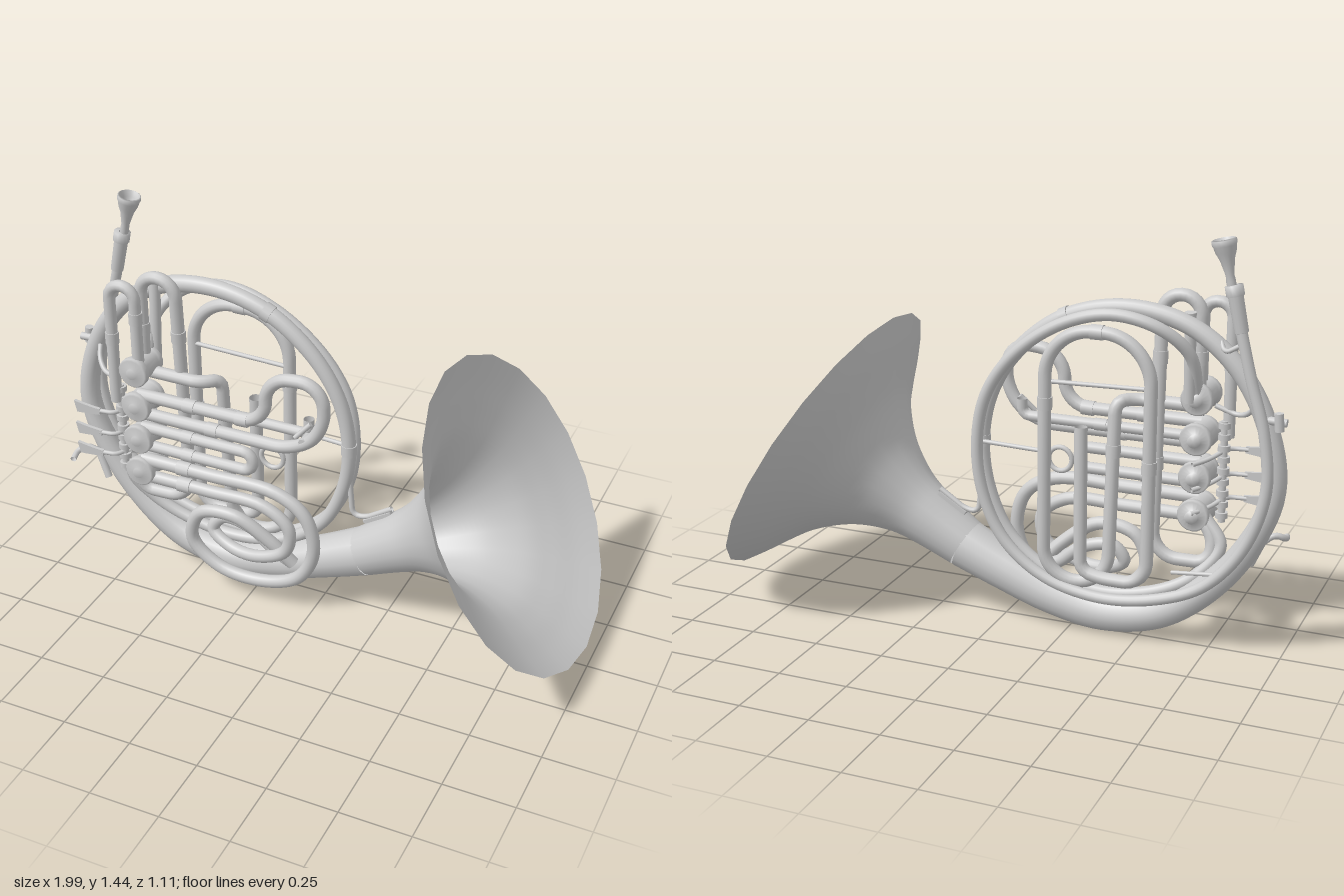
import * as THREE from 'three';

const mat = new THREE.MeshStandardMaterial({ color: 0xcccccc, side: THREE.DoubleSide });
const V = (p) => new THREE.Vector3(p[0], p[1], p[2] || 0);
const UP = new THREE.Vector3(0, 1, 0);

export function createModel() {
  const root = new THREE.Group();

  function add(name, geometry, parent = root) {
    const m = new THREE.Mesh(geometry, mat);
    m.name = name;
    parent.add(m);
    return m;
  }

  // Cylinder or cone between two points
  function rod(name, a, b, r0, r1 = r0, sides = 12) {
    const p = V(a), q = V(b);
    const m = add(name, new THREE.CylinderGeometry(r1, r0, p.distanceTo(q), sides));
    m.position.copy(p).add(q).multiplyScalar(0.5);
    m.quaternion.setFromUnitVectors(UP, q.sub(p).normalize());
    return m;
  }

  // Profile of [radius, height] turned about an axis
  function turned(name, profile, origin, axis, sides) {
    const m = add(name, new THREE.LatheGeometry(profile.map(([r, h]) => new THREE.Vector2(r, h)), sides));
    m.position.copy(V(origin));
    m.quaternion.setFromUnitVectors(UP, V(axis).normalize());
    return m;
  }

  // Smooth tube through points [x, y, z, radius], tapering between them
  function taperedTube(name, pts, sides = 14) {
    const curve = new THREE.CatmullRomCurve3(pts.map(V));
    curve.getUtoTmapping = (u) => u;
    const steps = (pts.length - 1) * 7;
    const geo = new THREE.TubeGeometry(curve, steps, 1, sides);
    const pos = geo.attributes.position, v = new THREE.Vector3();
    for (let i = 0; i <= steps; i++) {
      const c = curve.getPoint(i / steps);
      const f = Math.min(i / 7, pts.length - 1.0001), k = Math.floor(f);
      const r = THREE.MathUtils.lerp(pts[k][3], pts[k + 1][3], f - k);
      for (let j = 0; j <= sides; j++) {
        const n = i * (sides + 1) + j;
        v.fromBufferAttribute(pos, n).sub(c).multiplyScalar(r).add(c);
        pos.setXYZ(n, v.x, v.y, v.z);
      }
    }
    return add(name, geo);
  }

  // Straight runs joined by rounded bends, with collars at given fractions
  function pipe(name, pts, r, bend = 0.07, collars = []) {
    const path = new THREE.CurvePath(), p = pts.map(V);
    let from = p[0];
    for (let i = 1; i < p.length; i++) {
      if (i === p.length - 1) { path.add(new THREE.LineCurve3(from, p[i])); break; }
      const back = p[i - 1].clone().sub(p[i]), on = p[i + 1].clone().sub(p[i]);
      const d = Math.min(bend, back.length() * 0.49, on.length() * 0.49);
      const a = p[i].clone().add(back.setLength(d)), b = p[i].clone().add(on.setLength(d));
      const k = 0.45;
      path.add(new THREE.LineCurve3(from, a));
      path.add(new THREE.CubicBezierCurve3(a, a.clone().lerp(p[i], 1 - k), b.clone().lerp(p[i], 1 - k), b));
      from = b;
    }
    add(name, new THREE.TubeGeometry(path, Math.ceil(path.getLength() * 50) + 8, r, 12));
    for (const t of collars) {
      const c = path.getPointAt(t), d = path.getTangentAt(t).multiplyScalar(0.022);
      rod(name + 'Collar', c.clone().sub(d).toArray(), c.clone().add(d).toArray(), r * 1.15);
    }
  }

  // Flared bell
  const profile = new THREE.SplineCurve([[0.09, -0.64], [0.106, -0.5], [0.126, -0.4], [0.172, -0.3], [0.226, -0.225],
    [0.305, -0.15], [0.39, -0.097], [0.475, -0.05], [0.557, 0]].map(([r, h]) => new THREE.Vector2(r, h)));
  turned('bell', profile.getPoints(40).map((p) => [p.x, p.y]), [0.71, 0.57, 0], [0.863, 0.506, 0], 20);

  // Main body tube, from the bell throat once round and inside the bottom
  taperedTube('mainTube', [
    [0.158, 0.246, 0, 0.09], [0, 0.175, 0, 0.08], [-0.18, 0.105, 0, 0.071], [-0.37, 0.069, 0, 0.064],
    [-0.57, 0.105, 0, 0.058], [-0.73, 0.212, 0, 0.051], [-0.87, 0.385, 0, 0.044], [-0.955, 0.6, -0.005, 0.038],
    [-0.925, 0.81, -0.01, 0.035], [-0.82, 1, -0.01, 0.033], [-0.65, 1.13, -0.01, 0.031], [-0.43, 1.17, -0.01, 0.03],
    [-0.22, 1.12, -0.01, 0.029], [-0.05, 0.99, -0.01, 0.027], [0.05, 0.83, -0.01, 0.026], [0.085, 0.65, -0.01, 0.025],
    [0.06, 0.47, -0.01, 0.024], [-0.02, 0.31, -0.01, 0.023], [-0.17, 0.195, -0.01, 0.023], [-0.37, 0.15, -0.01, 0.022],
    [-0.57, 0.185, 0, 0.022], [-0.7, 0.26, 0.02, 0.022], [-0.765, 0.36, 0.05, 0.022], [-0.7, 0.45, 0.07, 0.022]], 16);
  // Collars on the main ring
  rod('mainTubeCollar', [-0.235, 1.127, -0.01], [-0.205, 1.113, -0.01], 0.033);
  rod('mainTubeCollar', [0.085, 0.63, -0.01], [0.085, 0.67, -0.01], 0.028);

  // Leadpipe, running behind the main ring
  taperedTube('leadpipe', [
    [-0.833, 1.14, -0.055, 0.019], [-0.875, 0.98, -0.06, 0.019], [-0.925, 0.81, -0.065, 0.019], [-0.94, 0.61, -0.066, 0.02],
    [-0.87, 0.4, -0.066, 0.02], [-0.74, 0.25, -0.066, 0.02], [-0.57, 0.175, -0.066, 0.02], [-0.37, 0.15, -0.066, 0.02],
    [-0.17, 0.195, -0.066, 0.02], [-0.02, 0.31, -0.066, 0.021], [0.06, 0.47, -0.066, 0.021], [0.083, 0.65, -0.066, 0.021],
    [0.05, 0.83, -0.066, 0.021], [-0.05, 0.98, -0.066, 0.021], [-0.22, 1.105, -0.066, 0.021], [-0.4, 1.155, -0.066, 0.021],
    [-0.56, 1.12, -0.05, 0.021], [-0.65, 1.03, 0, 0.021], [-0.665, 0.88, 0.06, 0.021]]);

  // Mouthpiece and receiver
  const axis = [0.21, 0.978, 0];
  turned('mouthpiece', [[0.012, 0], [0.016, 0.05], [0.014, 0.07], [0.024, 0.12], [0.034, 0.145], [0.038, 0.165],
    [0.041, 0.17], [0.041, 0.184], [0.036, 0.187], [0.029, 0.165], [0.008, 0.115]], [-0.803, 1.25, -0.055], axis, 16);
  turned('mouthpieceReceiver', [[0.018, 0], [0.023, 0.002], [0.025, 0.12], [0.03, 0.122], [0.03, 0.155], [0.012, 0.157]],
    [-0.835, 1.135, -0.055], axis, 14);
  pipe('leadpipeBrace', [[-0.845, 1.1, -0.055], [-0.78, 1.06, -0.05], [-0.76, 1.09, -0.02]], 0.008, 0.03);

  // Rotary valves
  const valveY = [0.865, 0.725, 0.59, 0.455], VX = -0.665;
  for (const y of valveY) {
    turned('valve', [[0, 0], [0.022, 0], [0.022, 0.018], [0.05, 0.02], [0.056, 0.024], [0.056, 0.042], [0.048, 0.045],
      [0.048, 0.12], [0.056, 0.122], [0.056, 0.142], [0.05, 0.147], [0.022, 0.147], [0.02, 0.155], [0, 0.155]],
    [VX, y, 0.02], [0, 0, 1], 18);
  }

  // Finger levers on a shared axle
  rod('leverAxle', [-0.745, 0.42, 0.12], [-0.745, 0.78, 0.12], 0.013);
  for (let i = 0; i < 9; i++) rod('leverSpring', [-0.745, 0.435 + i * 0.04, 0.12], [-0.745, 0.455 + i * 0.04, 0.12], 0.022);
  for (const y of [0.675, 0.585, 0.5]) {
    const s = new THREE.Shape();
    s.moveTo(-0.915, y + 0.022);
    s.quadraticCurveTo(-0.86, y + 0.012, -0.81, y + 0.01);
    s.lineTo(-0.81, y - 0.012);
    s.quadraticCurveTo(-0.86, y - 0.02, -0.905, y - 0.022);
    s.closePath();
    const paddle = add('fingerPaddle', new THREE.ExtrudeGeometry(s, { depth: 0.012, bevelEnabled: false }));
    paddle.position.z = 0.157;
    pipe('leverArm', [[-0.82, y, 0.162], [-0.76, y, 0.155], [-0.745, y, 0.12], [-0.71, y - 0.02, 0.07], [VX, y - 0.03, 0.02]], 0.008, 0.03);
  }
  // Thumb lever
  pipe('thumbLever', [[-0.71, 0.83, 0.12], [-0.8, 0.8, 0.12], [-0.85, 0.84, 0.08], [-0.86, 0.88, 0.05]], 0.009, 0.04);

  // Tuning slides above the valves
  pipe('upperSlide', [[-0.755, 0.72, 0.135], [-0.755, 1.185, 0.135], [-0.655, 1.185, 0.135], [-0.655, 0.86, 0.135]], 0.021, 0.05, [0.3, 0.75]);
  pipe('crossoverSlide', [[VX, 0.87, 0.075], [VX, 1.21, 0.075], [-0.53, 1.21, 0.075], [-0.53, 0.295, 0.03],
    [-0.735, 0.295, 0.04], [-0.735, 0.4, 0.06], [VX, 0.455, 0.07]], 0.023, 0.09, [0.08, 0.38, 0.6]);
  rod('innerUpperTube', [-0.645, 0.86, 0.03], [-0.645, 1.17, 0.01], 0.02);

  // Tall arched loop behind the valves
  pipe('archedLoop', [[VX, 0.835, 0.075], [-0.44, 0.835, 0.075], [-0.39, 0.835, 0.02], [-0.39, 0.185, -0.03],
    [-0.165, 0.195, -0.06], [-0.165, 1.09, -0.06], [-0.54, 1.09, -0.06], [-0.54, 0.22, -0.06], [-0.37, 0.22, -0.06],
    [-0.3, 0.24, -0.06], [-0.29, 0.75, -0.04]], 0.023, 0.17, [0.12, 0.45, 0.55, 0.7]);

  // Rounded slide to the right of the valves
  pipe('rightSlide', [[VX, 0.765, 0.13], [-0.165, 0.765, 0.13], [-0.165, 0.955, 0.13], [0.05, 0.975, 0.13],
    [0.055, 0.79, 0.13], [-0.06, 0.69, 0.13], [VX, 0.69, 0.13]], 0.023, 0.1, [0.12, 0.24, 0.83]);
  pipe('rightRearSlide', [[VX, 0.73, 0.07], [-0.03, 0.73, 0.07], [-0.03, 0.79, 0.07]], 0.019, 0.04, [0.5]);
  // Short hairpin slide
  pipe('shortSlide', [[VX, 0.625, 0.12], [-0.225, 0.625, 0.12], [-0.225, 0.55, 0.12], [VX, 0.55, 0.12]], 0.021, 0.037, [0.2, 0.8]);

  // Curled lower slide
  taperedTube('lowerCurl', [[VX, 0.495, 0.13], [-0.4, 0.495, 0.13], [-0.13, 0.49, 0.13], [-0.02, 0.42, 0.13], [0.012, 0.28, 0.13],
    [-0.05, 0.15, 0.13], [-0.2, 0.09, 0.13], [-0.37, 0.105, 0.13], [-0.475, 0.2, 0.13], [-0.44, 0.32, 0.13],
    [-0.3, 0.345, 0.13], [-0.17, 0.26, 0.11], [-0.09, 0.17, 0.085]].map((p) => [...p, 0.024]));
  taperedTube('lowerInnerCurl', [[VX, 0.425, 0.13], [-0.4, 0.425, 0.13], [-0.18, 0.42, 0.13], [-0.085, 0.35, 0.13],
    [-0.1, 0.25, 0.13], [-0.21, 0.195, 0.13], [-0.33, 0.19, 0.11], [-0.41, 0.235, 0.09], [-0.37, 0.29, 0.08],
    [-0.26, 0.27, 0.075], [-0.17, 0.2, 0.075], [-0.09, 0.17, 0.085]].map((p) => [...p, 0.023]));
  for (const y of [0.495, 0.425]) rod('lowerCurlCollar', [-0.52, y, 0.13], [-0.47, y, 0.13], 0.028);

  // Thin braces, finger ring and water key
  rod('upperBrace', [-0.53, 0.91, -0.05], [-0.165, 0.9, -0.05], 0.008);
  rod('sideBrace', [-0.165, 0.65, -0.05], [0.085, 0.65, -0.03], 0.008);
  rod('lowerBrace', [-0.8, 0.3, -0.06], [-0.62, 0.27, -0.03], 0.007);
  add('fingerRing', new THREE.TorusGeometry(0.043, 0.009, 10, 24)).position.set(-0.178, 0.59, 0.06);
  rod('waterKey', [-0.06, 0.735, 0.12], [-0.01, 0.79, 0.1], 0.009);
  rod('waterKeyPad', [-0.02, 0.74, 0.1], [-0.02, 0.74, 0.15], 0.014);

  // Bell brace and its plate
  pipe('bellBrace', [[0.085, 0.56, -0.012], [0.1, 0.38, -0.012], [0.15, 0.38, -0.012], [0.25, 0.445, -0.012]], 0.01, 0.04);
  const plate = add('bracePlate', new THREE.BoxGeometry(0.12, 0.014, 0.03));
  plate.position.set(0.2, 0.4, -0.012);
  plate.rotation.z = 0.55;

  // Hand hooks on the outer ring
  pipe('littleFingerHook', [[-0.89, 0.38, 0.02], [-0.95, 0.43, 0.05], [-0.985, 0.41, 0.07], [-0.975, 0.4, 0.12]], 0.011, 0.03);
  pipe('ringFerrule', [[-0.92, 0.42, 0.035], [-0.87, 0.31, 0.05]], 0.014);
  rod('thumbRest', [-0.99, 0.845, -0.03], [-0.89, 0.85, -0.03], 0.014);
  rod('thumbRestKnob', [-0.97, 0.82, -0.045], [-0.965, 0.88, -0.045], 0.016);

  return root;
}
